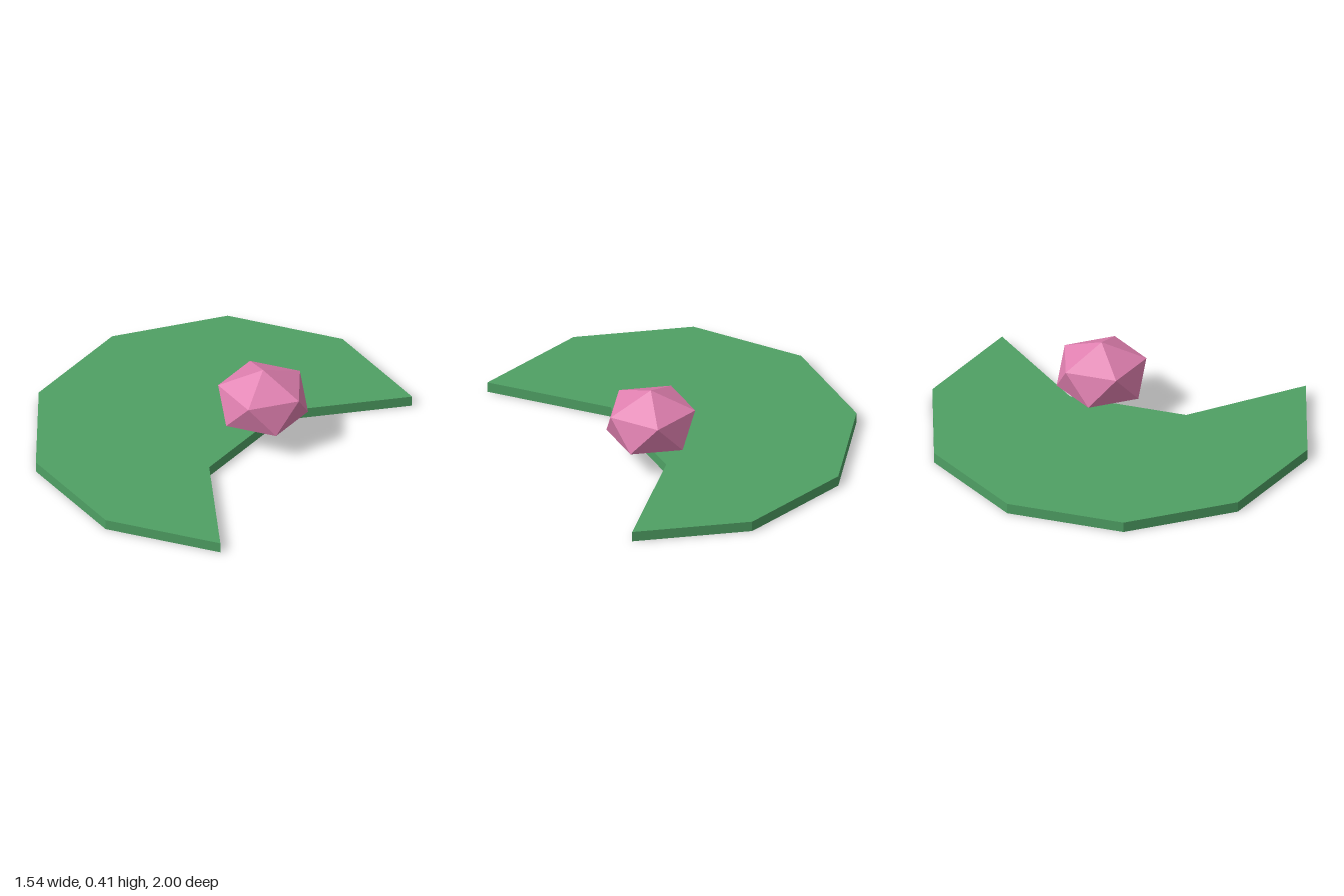
import * as THREE from 'three';

export function createModel() {
  const group = new THREE.Group();
  const leafGreen = new THREE.MeshStandardMaterial({ color: 0x4fa064, flatShading: true });
  leafGreen.name = 'leaf green';
  const blossomPink = new THREE.MeshStandardMaterial({ color: 0xe080b0, flatShading: true });
  blossomPink.name = 'blossom pink';

  // Lily pad: half outline mirrored across z, with a notch on the +x side
  const half = [[0.32, 0.31], [0.77, 0.81], [0.18, 1], [-0.41, 0.81], [-0.77, 0.31]];
  const mirrored = half.map(([x, z]) => [x, -z]).reverse();
  const outline = [...half, ...mirrored].map(([x, z]) => new THREE.Vector2(x, z));
  const thickness = 0.056;
  const padGeometry = new THREE.ExtrudeGeometry(new THREE.Shape(outline), {
    depth: thickness, bevelEnabled: false,
  });
  padGeometry.rotateX(-Math.PI / 2);
  const pad = new THREE.Mesh(padGeometry, leafGreen);
  pad.name = 'lilyPad';
  group.add(pad);

  // Flower bud: squashed icosahedron standing on one corner
  const budGeometry = new THREE.IcosahedronGeometry(0.256, 0);
  budGeometry.rotateZ(-Math.atan2(1, (1 + Math.sqrt(5)) / 2));
  budGeometry.scale(1, 0.695, 1);
  const bud = new THREE.Mesh(budGeometry, blossomPink);
  bud.name = 'flowerBud';
  bud.position.set(0.322, 0.231, -0.142);
  group.add(bud);

  return group;
}
